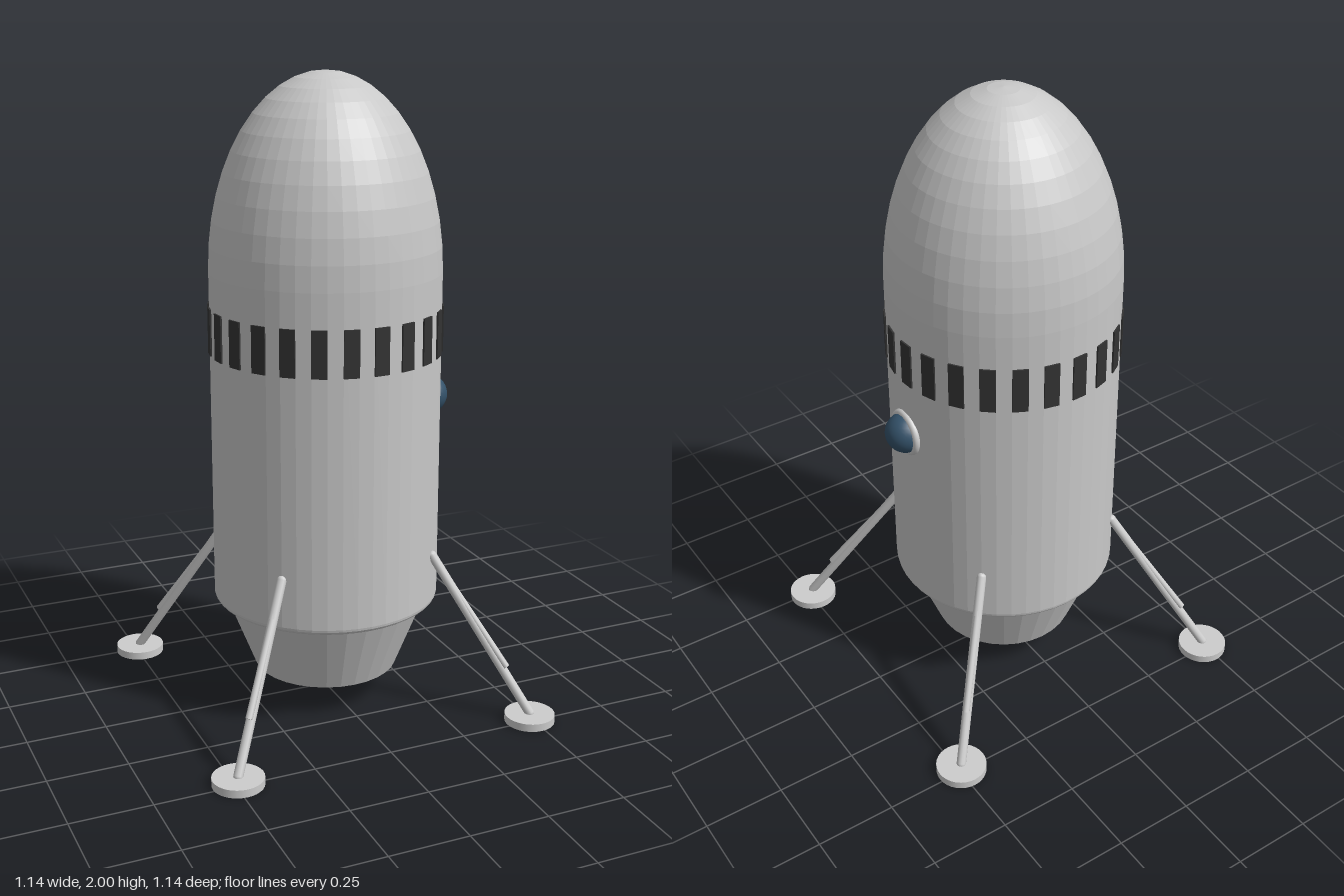
import * as THREE from 'three';

const material = (name, color, extra = {}) => {
  const m = new THREE.MeshStandardMaterial({ color, ...extra });
  m.name = name;
  return m;
};

export function createModel() {
  const hull = material('hull grey', 0xc8c8c8, { flatShading: true });
  const metal = material('leg grey', 0xcccccc);
  const dark = material('stripe charcoal', 0x333333);
  const blue = material('glass blue', 0x34526a);

  const root = new THREE.Group();
  root.name = 'rocket';
  const add = (name, geometry, mat, parent = root) => {
    const mesh = new THREE.Mesh(geometry, mat);
    mesh.name = name;
    parent.add(mesh);
    return mesh;
  };
  const v = (x, y, z) => new THREE.Vector3(x, y, z);

  // Hull: rounded lower rim, straight wall, elliptical nose
  const profile = [new THREE.Vector2(0, 0.335), new THREE.Vector2(0.34, 0.335)];
  for (let i = 1; i <= 4; i++) {
    const a = (i / 4) * Math.PI / 2;
    profile.push(new THREE.Vector2(0.34 + 0.02 * Math.sin(a), 0.355 - 0.02 * Math.cos(a)));
  }
  for (let i = 0; i <= 12; i++) {
    const a = (i / 12) * Math.PI / 2;
    profile.push(new THREE.Vector2(i === 12 ? 0 : 0.36 * Math.cos(a), 1.4 + 0.6 * Math.sin(a)));
  }
  add('hull', new THREE.LatheGeometry(profile, 48), hull);

  // Engine skirt
  add('engineSkirt', new THREE.CylinderGeometry(0.325, 0.23, 0.24, 32), hull).position.y = 0.22;

  // Ring of dark plates around the hull
  const band = new THREE.Group();
  band.name = 'stripeBand';
  root.add(band);
  const stripe = new THREE.BoxGeometry(0.0477, 0.145, 0.009);
  for (let i = 0; i < 24; i++) {
    const a = THREE.MathUtils.degToRad(3.75 + 15 * i);
    const plate = add('stripe', stripe, dark, band);
    plate.position.set(Math.sin(a) * 0.36, 1.22, Math.cos(a) * 0.36);
    plate.rotation.y = a;
  }

  // Domed porthole on the left side
  const porthole = new THREE.Group();
  porthole.name = 'porthole';
  porthole.position.set(0.36, 0.96, 0);
  porthole.rotation.y = Math.PI / 2;
  root.add(porthole);
  add('portholeRim', new THREE.TorusGeometry(0.063, 0.012, 12, 32), metal, porthole);
  add('portholeGlass', new THREE.SphereGeometry(0.064, 24, 16), blue, porthole);

  // Round-ended rod between two points
  const rod = (name, a, b, r, parent) => {
    const d = b.clone().sub(a);
    const mesh = add(name, new THREE.CapsuleGeometry(r, d.length(), 4, 12), metal, parent);
    mesh.position.copy(a).add(b).multiplyScalar(0.5);
    mesh.quaternion.setFromUnitVectors(v(0, 1, 0), d.normalize());
  };

  // Four legs with braces and foot pads
  for (const sx of [1, -1]) for (const sz of [1, -1]) {
    const leg = new THREE.Group();
    leg.name = 'landingLeg';
    root.add(leg);
    const p = (s, y) => v(sx * s, y, sz * s);
    rod('strut', p(0.255, 0.51), p(0.49, 0.025), 0.015, leg);
    // Flat-ended brace lying along the upper strut
    const a = p(0.255, 0.51), b = p(0.433, 0.17), d = b.clone().sub(a);
    const brace = add('brace', new THREE.CylinderGeometry(0.011, 0.011, d.length(), 12), metal, leg);
    brace.position.copy(a).add(b).multiplyScalar(0.5);
    brace.quaternion.setFromUnitVectors(v(0, 1, 0), d.normalize());
    add('footPad', new THREE.CylinderGeometry(0.079, 0.079, 0.025, 32), metal, leg)
      .position.copy(p(0.49, 0.0125));
  }
  return root;
}
